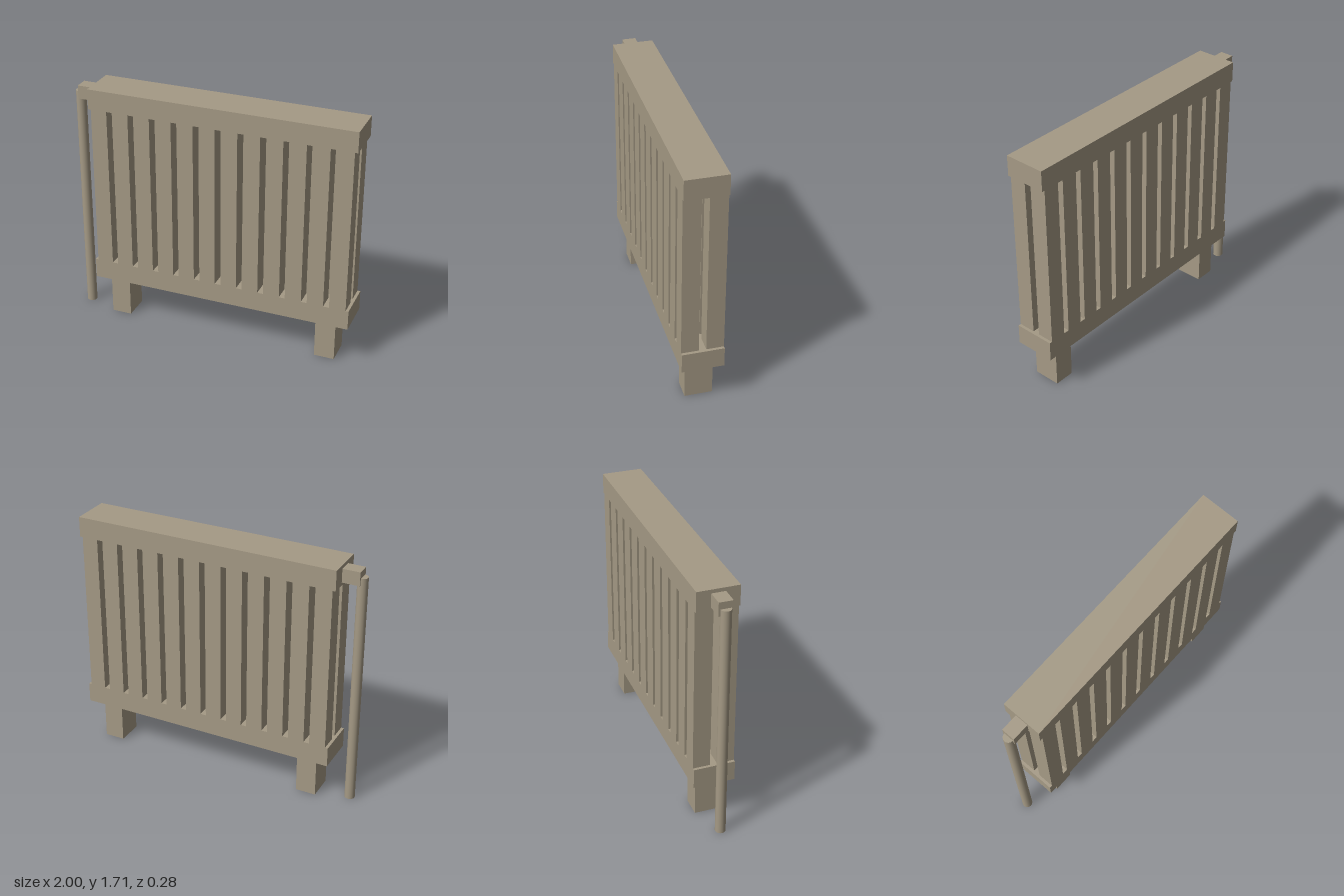
import * as THREE from 'three';

export function createModel() {
  const model = new THREE.Group();
  model.name = 'radiator';
  const paint = new THREE.MeshStandardMaterial({ color: 0xa59a85 });
  const CX = 0.077; // centre of the radiator body

  // Box given by its centre in x and z, and its bottom and top heights
  function box(name, x, z, y0, y1, w, d) {
    const mesh = new THREE.Mesh(new THREE.BoxGeometry(w, y1 - y0, d), paint);
    mesh.name = name;
    mesh.position.set(x, (y0 + y1) / 2, z);
    model.add(mesh);
  }

  // Headers
  box('bottomHeader', CX, 0, 0.288, 0.427, 1.844, 0.28);
  box('topHeader', CX, 0, 1.565, 1.705, 1.844, 0.28);

  // Two rows of upright columns
  for (let i = 0; i < 12; i++) {
    const x = CX + (i - 5.5) * 0.1537;
    for (const side of [1, -1]) {
      box(side > 0 ? 'frontColumn' : 'backColumn', x, side * 0.082, 0.427, 1.565, 0.113, 0.116);
    }
  }

  // Feet
  for (const side of [1, -1]) {
    box(side > 0 ? 'leftFoot' : 'rightFoot', CX + side * 0.757, 0, 0, 0.288, 0.14, 0.186);
  }

  // Valve and supply pipe
  box('valve', -0.904, 0, 1.587, 1.68, 0.118, 0.093);
  const pipe = new THREE.Mesh(new THREE.CylinderGeometry(0.035, 0.035, 1.633, 16), paint);
  pipe.name = 'supplyPipe';
  pipe.position.set(-0.965, 1.633 / 2, 0);
  model.add(pipe);

  return model;
}
